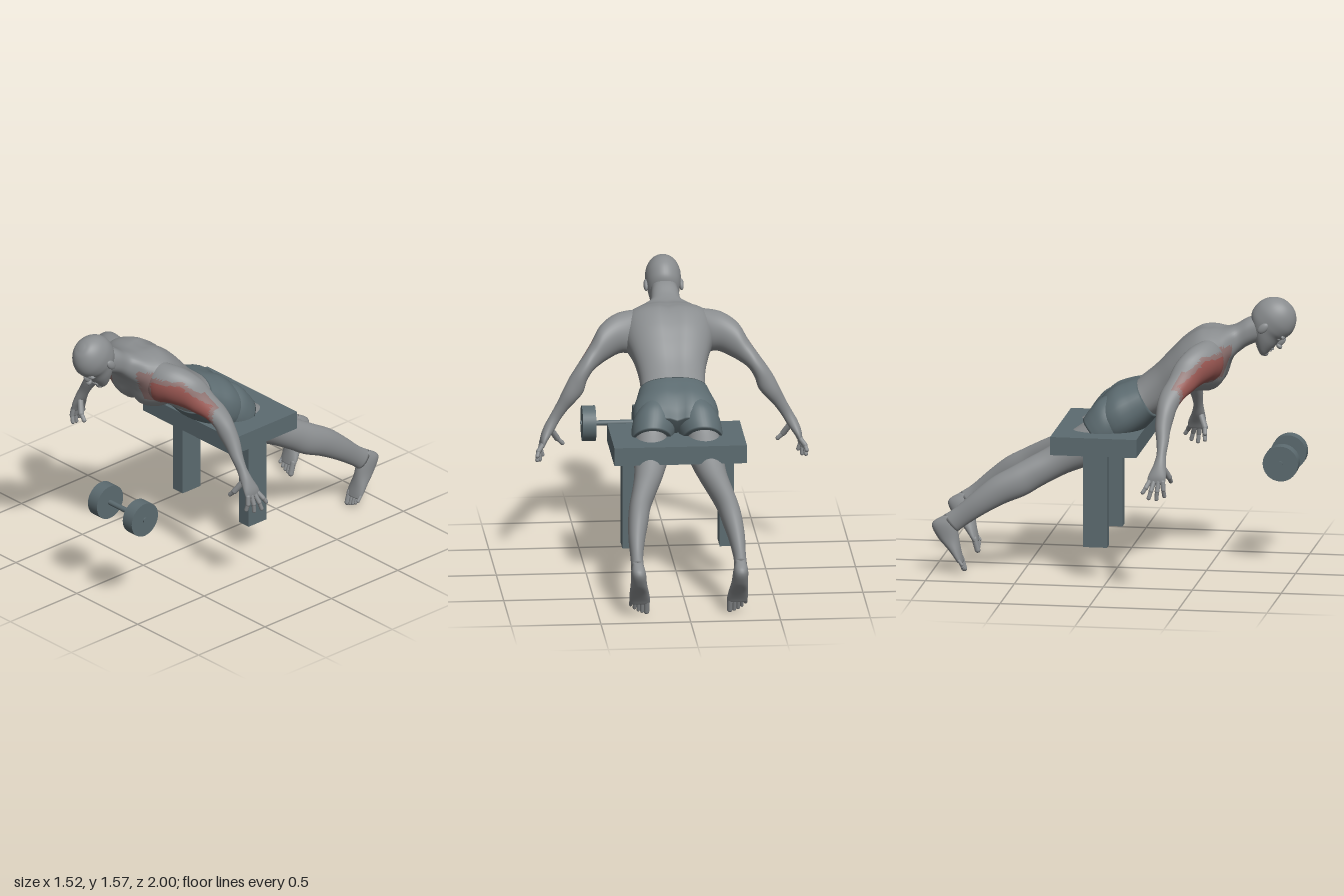
import * as THREE from 'three';

const mat = (name, color) => {
  const m = new THREE.MeshStandardMaterial({ color });
  m.name = name;
  return m;
};
const skin = mat('skin grey', 0x8a8d8f);
const cloth = mat('slate', 0x5c6b70);
const red = mat('muscle red', 0x985651);
const pink = mat('muscle pink', 0x8d716f);
const X = new THREE.Vector3(1, 0, 0), Z = new THREE.Vector3(0, 0, 1);
const bell = (x, w) => Math.exp(-((x / w) ** 2));

// Smooth closed loft. Each ring is [ax, ay, az, bx, by, bz, halfWidth]:
// A and B are opposite outline points, the half width runs along side.
function loft(name, rings, side, { power = 0.9, rows = 5, shape, paint, material = skin } = {}) {
  const curve = f => new THREE.CatmullRomCurve3(rings.map(f), false, 'catmullrom', 0.5);
  const ca = curve(r => new THREE.Vector3(r[0], r[1], r[2]));
  const cb = curve(r => new THREE.Vector3(r[3], r[4], r[5]));
  const cw = curve(r => new THREE.Vector3(r[6], 0, 0));
  const n = 40, m = (rings.length - 1) * rows, pts = [];
  const sp = v => Math.sign(v) * Math.abs(v) ** power;
  for (let i = 0; i <= m; i++) {
    const a = ca.getPoint(i / m), b = cb.getPoint(i / m), w = cw.getPoint(i / m).x;
    const c = a.clone().add(b).multiplyScalar(0.5), h = a.clone().sub(b).multiplyScalar(0.5);
    for (let j = 0; j < n; j++) {
      const t = j / n * Math.PI * 2;
      const p = c.clone().addScaledVector(h, sp(Math.cos(t))).addScaledVector(side, w * sp(Math.sin(t)));
      if (shape) shape(p, c, Math.cos(t), i / m);
      pts.push(p);
    }
  }
  const mean = k => {
    const p = new THREE.Vector3();
    for (let j = 0; j < n; j++) p.addScaledVector(pts[k * n + j], 1 / n);
    return p;
  };
  pts.push(mean(0), mean(m));
  const tris = [], S = (m + 1) * n, E = S + 1;
  for (let j = 0; j < n; j++) {
    const k = (j + 1) % n;
    for (let i = 0; i < m; i++) {
      const a = i * n + j, b = i * n + k, c = a + n, d = b + n;
      tris.push([a, b, c], [b, d, c]);
    }
    tris.push([S, k, j], [E, m * n + j, m * n + k]);
  }
  // Face outwards whichever way the rings run
  let volume = 0;
  for (const [a, b, c] of tris) volume += pts[a].dot(pts[b].clone().cross(pts[c]));
  if (volume < 0) tris.forEach(t => t.reverse());
  // Sort faces by colour
  const mats = paint ? [skin, red, pink] : [material], buckets = mats.map(() => []);
  for (const t of tris) {
    const [a, b, c] = t.map(i => pts[i]);
    const mid = a.clone().add(b).add(c).divideScalar(3);
    const normal = b.clone().sub(a).cross(c.clone().sub(a)).normalize();
    buckets[paint ? paint(mid, normal) : 0].push(...t);
  }
  const geo = new THREE.BufferGeometry().setFromPoints(pts);
  geo.setIndex(buckets.flat());
  let start = 0;
  buckets.forEach((b, i) => { geo.addGroup(start, b.length, i); start += b.length; });
  geo.computeVertexNormals();
  const mesh = new THREE.Mesh(geo, mats);
  mesh.name = name;
  return mesh;
}

// Ring in the side plane: back (z, y), front (z, y), half width, centre x
const ring = (s = 1) => ([bz, by, fz, fy, w, cx = 0]) => [cx * s, by, bz, cx * s, fy, fz, w];

// Front shoulder and upper arm muscle, with a paler edge over the chest
function muscle(p, n) {
  const x = Math.abs(p.x), y = p.y;
  if (n.z < 0 || x < 0.12 || x > 0.49) return 0;
  const top = 1.275 - Math.max(0, x - 0.35) * 0.95, low = x < 0.3 ? 1.16 - (x - 0.2) * 0.3 : 1.05;
  if (x > 0.2 && x < 0.475 && y < top && y > low) return 1;
  const edge = x < 0.2 ? y < 1.32 && y > 1.14 : y < top + 0.025 && y > low - 0.025;
  return edge ? 2 : 0;
}

function add(parent, name, geo, material, x, y, z) {
  const mesh = new THREE.Mesh(geo, material);
  mesh.name = name;
  mesh.position.set(x, y, z);
  parent.add(mesh);
  return mesh;
}
function ball(parent, name, x, y, z, rx, ry, rz) {
  add(parent, name, new THREE.SphereGeometry(1, 20, 14), skin, x, y, z).scale.set(rx, ry, rz);
}
function digit(parent, name, from, to, r) {
  const a = new THREE.Vector3(...from), b = new THREE.Vector3(...to), d = b.clone().sub(a);
  const mid = a.add(b).multiplyScalar(0.5);
  const mesh = add(parent, name, new THREE.CapsuleGeometry(r, d.length(), 5, 12), skin, mid.x, mid.y, mid.z);
  mesh.quaternion.setFromUnitVectors(new THREE.Vector3(0, 1, 0), d.normalize());
}

function makeHead() {
  const head = new THREE.Group();
  head.name = 'head';
  head.position.set(0, 1.445, 0.875);
  head.rotation.x = Math.PI / 4;
  // Back depth, height, front depth, height, half width
  head.add(loft('skull', [
    [-0.015, 0.131, 0.015, 0.131, 0.015], [-0.06, 0.117, 0.06, 0.117, 0.052],
    [-0.102, 0.08, 0.1, 0.08, 0.082], [-0.124, 0.03, 0.122, 0.03, 0.098],
    [-0.124, -0.02, 0.12, -0.02, 0.098], [-0.11, -0.06, 0.108, -0.055, 0.092],
    [-0.07, -0.1, 0.112, -0.1, 0.082], [-0.02, -0.135, 0.112, -0.14, 0.066],
    [0.03, -0.165, 0.112, -0.172, 0.045], [0.065, -0.182, 0.1, -0.188, 0.02],
  ].map(ring()), X, { power: 1 }));
  ball(head, 'nose bridge', 0, -0.055, 0.116, 0.012, 0.036, 0.02);
  ball(head, 'nose tip', 0, -0.08, 0.128, 0.018, 0.014, 0.019);
  ball(head, 'upper lip', 0, -0.118, 0.11, 0.026, 0.008, 0.011);
  ball(head, 'lower lip', 0, -0.132, 0.109, 0.023, 0.008, 0.011);
  ball(head, 'chin', 0, -0.165, 0.102, 0.026, 0.018, 0.018);
  for (const s of [-1, 1]) {
    ball(head, 'brow', s * 0.038, -0.018, 0.104, 0.033, 0.01, 0.014);
    ball(head, 'eye', s * 0.036, -0.045, 0.094, 0.016, 0.011, 0.012);
    ball(head, 'ear', s * 0.099, -0.05, -0.01, 0.013, 0.036, 0.023);
  }
  return head;
}

function makeArm(s) {
  const arm = new THREE.Group();
  arm.name = s > 0 ? 'leftArm' : 'rightArm';
  // Upper outline x, y; lower outline x, y; depth z; half depth
  arm.add(loft('armAndPalm', [
    [0.12, 1.36, 0.13, 1.16, 0.55, 0.06], [0.22, 1.36, 0.19, 1.12, 0.53, 0.098],
    [0.305, 1.345, 0.27, 1.13, 0.5, 0.1], [0.385, 1.295, 0.34, 1.11, 0.455, 0.088],
    [0.435, 1.215, 0.395, 1.085, 0.42, 0.077], [0.482, 1.15, 0.435, 1.06, 0.385, 0.07],
    [0.527, 1.09, 0.468, 1.01, 0.36, 0.058], [0.567, 1.03, 0.488, 0.95, 0.35, 0.05],
    [0.602, 0.96, 0.53, 0.9, 0.345, 0.043], [0.637, 0.885, 0.575, 0.85, 0.35, 0.034],
    [0.672, 0.82, 0.618, 0.79, 0.35, 0.027], [0.705, 0.76, 0.65, 0.735, 0.345, 0.036],
    [0.727, 0.7, 0.685, 0.685, 0.335, 0.05], [0.73, 0.655, 0.705, 0.65, 0.33, 0.05],
  ].map(([ax, ay, bx, by, z, w]) => [ax * s, ay, z, bx * s, by, z, w]), Z, { power: 1, paint: muscle }));
  const tips = [[0.75, 0.61, 0.262], [0.748, 0.578, 0.295], [0.73, 0.57, 0.335], [0.712, 0.585, 0.377]];
  tips.forEach(([x, y, z], i) => {
    const root = 0.294 + i * 0.025;
    const knuckle = [s * (x + 0.718) / 2 + s * 0.008, (y + 0.66) / 2, (z + root) / 2];
    digit(arm, 'finger', [s * 0.718, 0.665, root], knuckle, 0.0135);
    digit(arm, 'fingerTip', knuckle, [s * x, y, z], 0.0115);
  });
  digit(arm, 'thumbBase', [s * 0.67, 0.74, 0.36], [s * 0.63, 0.675, 0.39], 0.017);
  digit(arm, 'thumb', [s * 0.63, 0.675, 0.39], [s * 0.6, 0.645, 0.395], 0.0125);
  return arm;
}

function makeLeg(s) {
  const leg = new THREE.Group();
  leg.name = s > 0 ? 'leftLeg' : 'rightLeg';
  leg.add(loft('thighAndShin', [
    [-0.08, 0.95, 0.02, 0.76, 0.09, 0.12], [-0.155, 0.87, 0, 0.71, 0.095, 0.145],
    [-0.235, 0.81, -0.12, 0.625, 0.095, 0.153], [-0.36, 0.72, -0.25, 0.575, 0.08, 0.178],
    [-0.47, 0.66, -0.38, 0.51, 0.067, 0.215], [-0.57, 0.605, -0.475, 0.455, 0.06, 0.245],
    [-0.67, 0.548, -0.585, 0.41, 0.056, 0.262], [-0.77, 0.465, -0.69, 0.355, 0.046, 0.278],
    [-0.86, 0.383, -0.8, 0.285, 0.035, 0.286], [-0.93, 0.335, -0.85, 0.245, 0.036, 0.287],
  ].map(ring(s)), X, { power: 1 }));
  leg.add(loft('foot', [
    [-0.93, 0.335, -0.87, 0.33, 0.025, 0.287], [-0.997, 0.285, -0.855, 0.275, 0.04, 0.285],
    [-0.967, 0.21, -0.845, 0.2, 0.045, 0.281], [-0.91, 0.145, -0.836, 0.14, 0.054, 0.276],
    [-0.875, 0.1, -0.827, 0.095, 0.058, 0.272], [-0.857, 0.072, -0.822, 0.07, 0.054, 0.27],
  ].map(ring(s)), X, { power: 0.9 }));
  for (let i = 0; i < 5; i++) {
    const r = i ? 0.0115 - i * 0.0005 : 0.016, x = 0.232 + i * 0.021 + (i ? 0.004 : 0);
    digit(leg, 'toe', [s * x, 0.085, -0.842], [s * x, 0.022 + i * i * 0.0025, -0.824], r);
  }
  leg.add(loft('shortsLeg', [
    [-0.02, 1.02, 0.09, 0.79, 0.1, 0.11], [-0.085, 0.985, 0.045, 0.745, 0.118, 0.125],
    [-0.135, 0.93, 0.02, 0.715, 0.12, 0.133], [-0.17, 0.878, 0, 0.695, 0.11, 0.143],
  ].map(ring(s)), X, { material: cloth, power: 1 }));
  return leg;
}

export function createModel() {
  const model = new THREE.Group();
  model.name = 'exerciserOnBench';

  // Neck, chest and waist, with spine and breastbone grooves and a chest bulge
  model.add(loft('torso', [
    [0.82, 1.47, 0.85, 1.34, 0.075], [0.74, 1.458, 0.75, 1.305, 0.078],
    [0.665, 1.415, 0.69, 1.265, 0.095], [0.6, 1.395, 0.655, 1.23, 0.175],
    [0.53, 1.4, 0.63, 1.18, 0.235], [0.46, 1.392, 0.595, 1.1, 0.25],
    [0.375, 1.335, 0.535, 1.05, 0.243], [0.3, 1.26, 0.44, 1.035, 0.215],
    [0.22, 1.175, 0.35, 0.975, 0.188], [0.15, 1.115, 0.25, 0.905, 0.18],
    [0.08, 1.06, 0.16, 0.86, 0.19],
  ].map(ring()), X, {
    rows: 8, power: 0.85, paint: muscle,
    shape(p, c, k, t) {
      const body = Math.min(1, Math.max(0, (t - 0.28) * 8));
      const groove = 0.1 * bell(p.x, 0.025) * body * Math.abs(k);
      const pec = k < 0 ? 0.07 * bell(Math.abs(p.x) - 0.1, 0.07) * bell(t - 0.5, 0.09) : 0;
      const f = 1 - groove + pec;
      p.y = c.y + (p.y - c.y) * f;
      p.z = c.z + (p.z - c.z) * f;
    },
  }));

  // Shorts around the hips, cleft at the back
  model.add(loft('shorts', [
    [0.12, 1.092, 0.235, 0.892, 0.192], [0.06, 1.078, 0.17, 0.82, 0.213],
    [-0.015, 1.048, 0.1, 0.765, 0.237], [-0.08, 0.99, 0.05, 0.735, 0.235],
    [-0.12, 0.925, 0.02, 0.73, 0.2],
  ].map(ring()), X, {
    material: cloth, rows: 8, power: 0.85,
    shape(p, c, k, t) {
      if (k < 0) return;
      const f = 1 - 0.25 * bell(p.x, 0.035) * t * k;
      p.y = c.y + (p.y - c.y) * f;
      p.z = c.z + (p.z - c.z) * f;
    },
  }));

  model.add(makeHead());
  for (const s of [-1, 1]) model.add(makeArm(s), makeLeg(s));

  // Bench
  add(model, 'benchTop', new THREE.BoxGeometry(0.738, 0.103, 0.485), cloth, 0, 0.767, -0.078);
  for (const s of [-1, 1])
    add(model, 'benchLeg', new THREE.BoxGeometry(0.078, 0.535, 0.135), cloth, s * 0.271, 0.453, -0.077);

  // Dumbbell
  const dumbbell = new THREE.Group();
  dumbbell.name = 'dumbbell';
  dumbbell.position.set(0.27, 0.605, 0.9);
  dumbbell.rotation.z = Math.PI / 2;
  add(dumbbell, 'bar', new THREE.CylinderGeometry(0.015, 0.015, 0.375, 20), cloth, 0, 0, 0);
  for (const s of [-1, 1])
    add(dumbbell, 'weight', new THREE.CylinderGeometry(0.099, 0.099, 0.074, 40), cloth, 0, s * 0.143, 0);
  model.add(dumbbell);
  return model;
}
